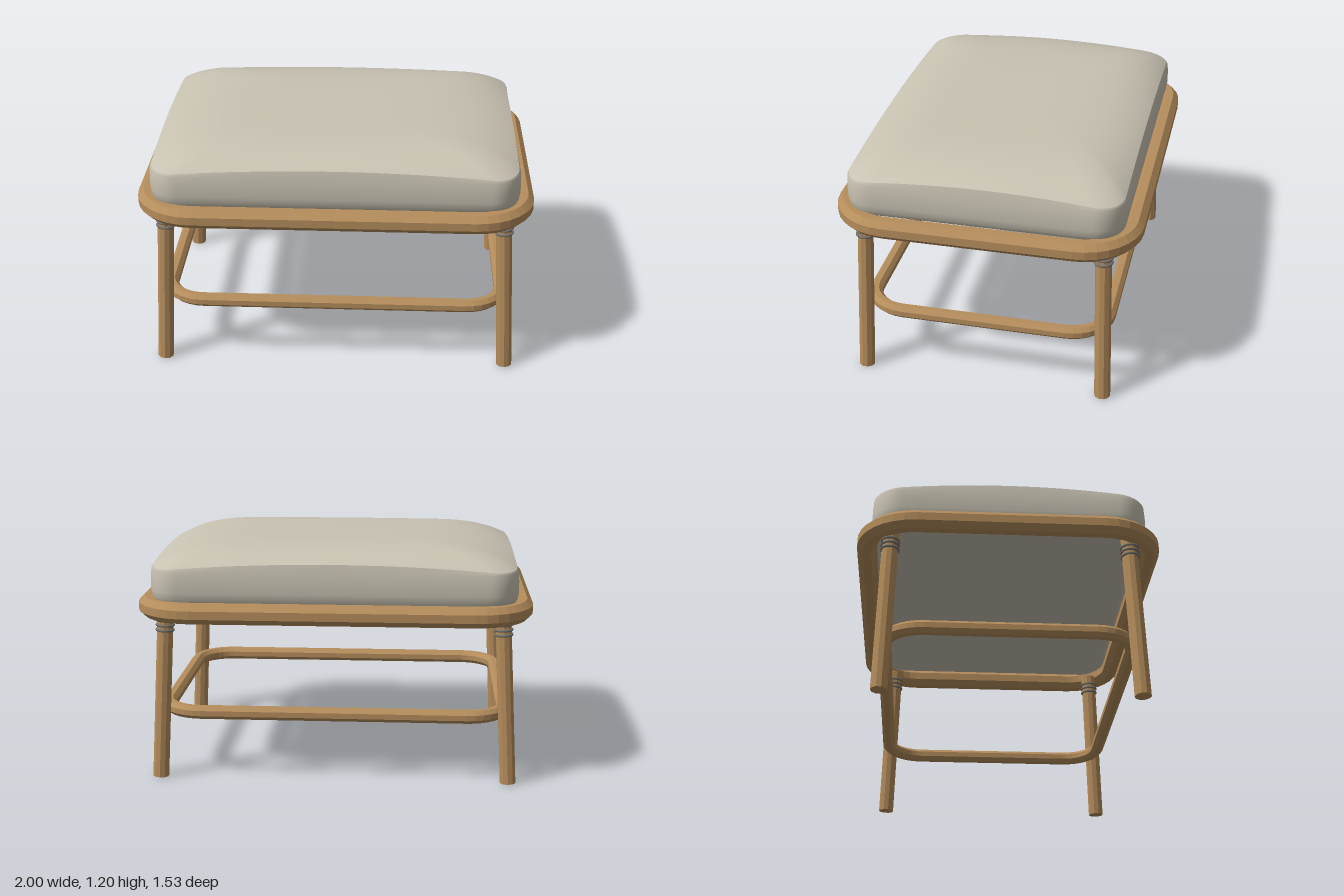
import * as THREE from 'three';

const wood = new THREE.MeshStandardMaterial({ color: 0xb58d5c, flatShading: true });
const fabric = new THREE.MeshStandardMaterial({ color: 0xc8c2b2 });
const binding = new THREE.MeshStandardMaterial({ color: 0x77746e });

// Rounded rectangle in plan, as a closed list of [x, z]
function roundedRect(hx, hz, r, arc, straight) {
  const pts = [];
  const centres = [[1, 1], [-1, 1], [-1, -1], [1, -1]].map(([a, b]) => [a * (hx - r), b * (hz - r)]);
  centres.forEach(([cx, cz], q) => {
    for (let i = 0; i <= arc; i++) {
      const a = (q + i / arc) * Math.PI / 2;
      pts.push([cx + r * Math.cos(a), cz + r * Math.sin(a)]);
    }
    const [x0, z0] = pts[pts.length - 1];
    const a = (q + 1) * Math.PI / 2, [nx, nz] = centres[(q + 1) % 4];
    const x1 = nx + r * Math.cos(a), z1 = nz + r * Math.sin(a);
    for (let i = 1; i < straight; i++) {
      const t = i / straight;
      pts.push([x0 + (x1 - x0) * t, z0 + (z1 - z0) * t]);
    }
  });
  return pts;
}

// Skin a stack of equal-length loops of [x, y, z]
function loft(loops, closed) {
  const n = loops[0].length, index = [];
  const rows = closed ? loops.length : loops.length - 1;
  for (let j = 0; j < rows; j++) {
    for (let i = 0; i < n; i++) {
      const k = (i + 1) % n, up = (j + 1) % loops.length;
      const a = j * n + i, b = j * n + k, c = up * n + i, d = up * n + k;
      index.push(a, c, b, b, c, d);
    }
  }
  const g = new THREE.BufferGeometry();
  g.setAttribute('position', new THREE.Float32BufferAttribute(loops.flat(2), 3));
  g.setIndex(index);
  g.computeVertexNormals();
  return g;
}

// Eight-sided bar bent into a rounded rectangle
function bentRail(name, hx, hz, r, y, flat) {
  const rho = flat / Math.cos(Math.PI / 8), loops = [];
  for (let j = 0; j < 8; j++) {
    const a = (j + 0.5) * Math.PI / 4, o = rho * Math.cos(a);
    loops.push(roundedRect(hx + o, hz + o, r + o, 8, 1).map(([x, z]) => [x, y + rho * Math.sin(a), z]));
  }
  const mesh = new THREE.Mesh(loft(loops, true), wood);
  mesh.name = name;
  return mesh;
}

// Splayed leg with three binding rings under the seat rail
function makeLeg(name, sx, sz) {
  const foot = new THREE.Vector3(sx * 0.89, 0, sz * 0.62);
  const head = new THREE.Vector3(sx * 0.845, 0.87, sz * 0.593);
  const dir = head.clone().sub(foot), len = dir.length();
  const leg = new THREE.Group();
  leg.name = name;
  leg.position.copy(foot);
  leg.quaternion.setFromUnitVectors(new THREE.Vector3(0, 1, 0), dir.normalize());
  const post = new THREE.Mesh(new THREE.CylinderGeometry(0.041, 0.041, len, 10).translate(0, len / 2, 0), wood);
  post.name = 'legPost';
  leg.add(post);
  for (const y of [0.77, 0.795, 0.82]) {
    const ring = new THREE.Mesh(new THREE.TorusGeometry(0.042, 0.007, 6, 20).rotateX(Math.PI / 2), binding);
    ring.position.y = y;
    ring.name = 'legBinding';
    leg.add(ring);
  }
  return leg;
}

// Box cushion: rounded base and wall, then a domed top meeting it at a crisp seam
function makeCushion() {
  const HX = 0.922, HZ = 0.692, R = 0.15, seam = 1.125;
  const ring = (inset, t, yAt) =>
    roundedRect((HX - inset) * t, (HZ - inset) * t, (R - inset) * t, 10, 14).map(([x, z]) => [x, yAt(x, z), z]);
  const droop = (x, z) => 0.045 * (x / HX) ** 2 * (z / HZ) ** 2;

  // [inset, scale, height]
  const wall = [[0.07, 0.001, 0.9], [0.07, 0.5, 0.9], [0.07, 0.97, 0.9], [0.045, 1, 0.903],
    [0.02, 1, 0.915], [0.006, 1, 0.94], [0, 1, 0.975], [0, 1, 1.03], [0.004, 1, 1.08]]
    .map(([inset, t, y]) => ring(inset, t, () => y));
  wall.push(ring(0.012, 1, (x, z) => seam - droop(x, z)));

  const top = [];
  for (let i = 0; i <= 18; i++) {
    const t = Math.max(0.001, 1 - (i / 18) ** 1.5);
    top.push(ring(0.012, t, (x, z) => seam + 0.073 * (1 - t ** 5) - droop(x, z) * t ** 3));
  }
  const cushion = new THREE.Group();
  cushion.name = 'cushion';
  [['cushionSides', wall], ['cushionTop', top]].forEach(([name, loops]) => {
    const mesh = new THREE.Mesh(loft(loops, false), fabric);
    mesh.name = name;
    cushion.add(mesh);
  });
  return cushion;
}

export function createModel() {
  const model = new THREE.Group();
  model.name = 'footstool';
  model.add(bentRail('seatRail', 0.95, 0.717, 0.25, 0.88, 0.05));
  model.add(bentRail('stretcherRail', 0.865, 0.61, 0.19, 0.342, 0.033));
  model.add(makeLeg('frontLeftLeg', 1, 1), makeLeg('frontRightLeg', -1, 1));
  model.add(makeLeg('backLeftLeg', 1, -1), makeLeg('backRightLeg', -1, -1));
  model.add(makeCushion());
  return model;
}
